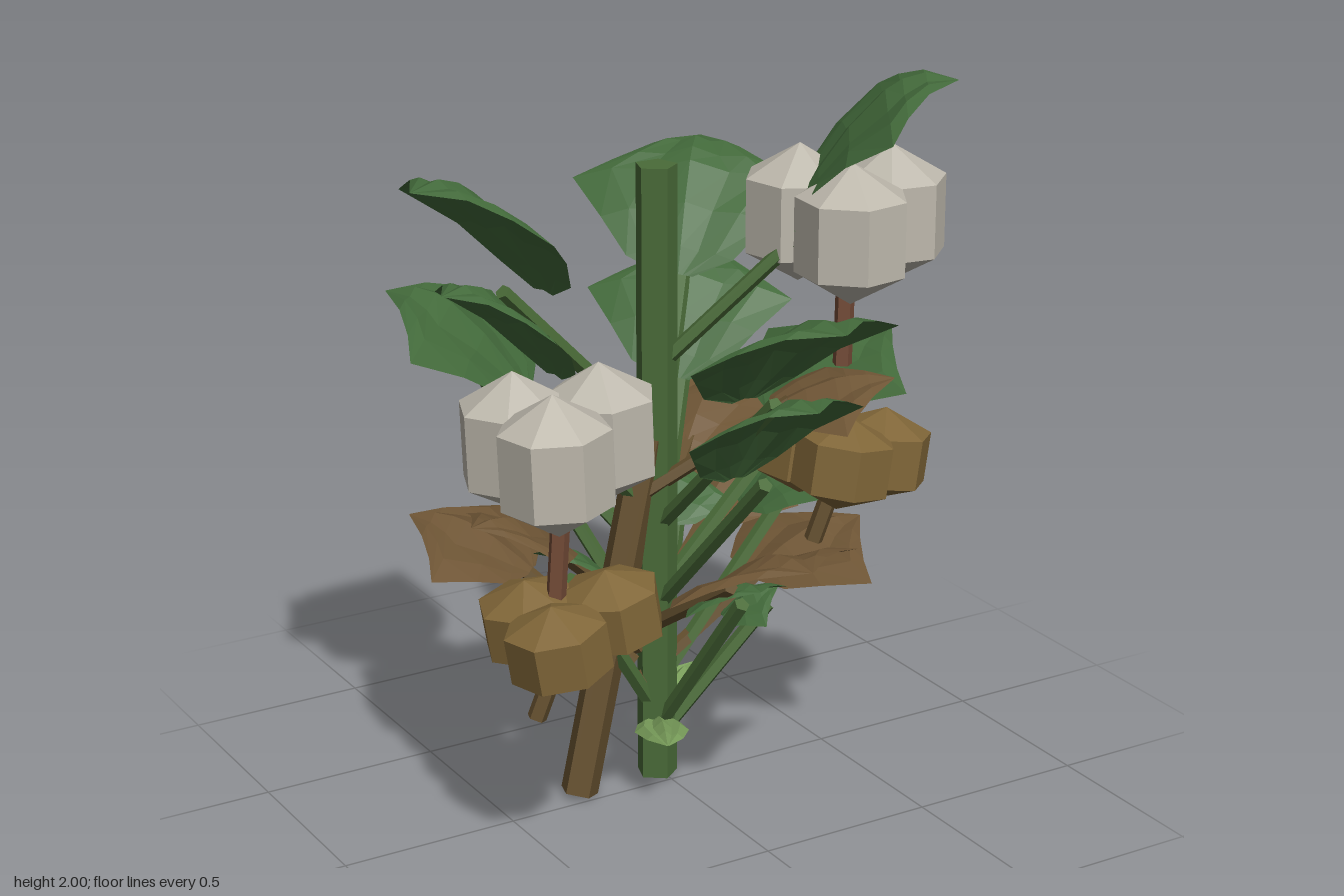
import * as THREE from 'three';

const paint = (color) => new THREE.MeshStandardMaterial({ color, flatShading: true, side: THREE.DoubleSide });
const V = (x, y, z) => new THREE.Vector3(x, y, z);

// Straight stick between two points
function stick(name, a, b, radius, sides, mat) {
  const mesh = new THREE.Mesh(new THREE.CylinderGeometry(radius, radius, a.distanceTo(b), sides), mat);
  mesh.position.copy(a).lerp(b, 0.5);
  mesh.quaternion.setFromUnitVectors(V(0, 1, 0), b.clone().sub(a).normalize());
  mesh.name = name;
  return mesh;
}

// Blade outlines: rows of [position along, half width]
const BROAD = [[0, 0.04], [0.11, 0.15], [0.3, 0.235], [0.53, 0.335], [0.64, 0.23], [0.79, 0.125], [1, 0.004]];
const NARROW = [[0, 0.01], [0.25, 0.06], [0.5, 0.075], [0.75, 0.05], [1, 0.003]];

function blade(rows, size, run, rise, droop, mat) {
  const pos = [], idx = [], cols = 6;
  rows.forEach(([t, w], i) => {
    for (let c = 0; c <= cols; c++) {
      const s = (c / cols) * 2 - 1;
      const ripple = (c % 2 ? 0.015 : 0) * size * Math.sin(Math.PI * t);
      // wings fold down at the sides, lower lobes sweep back
      const along = t - (i === 1 || i === 2 ? 0.05 * s * s : 0);
      const y = rise * 1.06 * Math.sin(1.85 * t) - droop * Math.abs(s) * w + ripple;
      pos.push(s * w * size, y, along * run);
    }
  });
  const n = cols + 1;
  for (let i = 0; i < rows.length - 1; i++) {
    for (let c = 0; c < cols; c++) {
      const a = i * n + c;
      idx.push(a, a + n, a + 1, a + 1, a + n, a + n + 1);
    }
  }
  const g = new THREE.BufferGeometry();
  g.setAttribute('position', new THREE.Float32BufferAttribute(pos, 3));
  g.setIndex(idx);
  g.computeVertexNormals();
  const mesh = new THREE.Mesh(g, mat);
  mesh.name = 'blade';
  return mesh;
}

// Leaf on a slanting stalk; angle in degrees from the front toward +x
function leaf(name, origin, [angle, reach, y, rise, size], drop, overrun, mat, stalkMat) {
  const g = new THREE.Group();
  g.name = name;
  g.position.copy(origin);
  g.rotation.y = THREE.MathUtils.degToRad(angle);
  const b = blade(BROAD, size, 0.4 * size, rise, 0.15, mat);
  b.position.set(0, y, reach);
  // the stalk runs on a little way under the blade
  g.add(b, stick('leafStalk', V(0, Math.max(y - drop, 0.1), 0), V(0, y + 0.02, reach + overrun), 0.022, 5, stalkMat));
  return g;
}

// Three faceted lobes around a short stalk
function cluster(name, center, foot, lobes, radius, half, tilt, mat, stalkMat) {
  const g = new THREE.Group();
  g.name = name;
  const head = new THREE.Group();
  head.name = 'lobes';
  head.position.copy(center);
  head.rotation.z = tilt;
  const profile = [[0, -half], [radius, -half * 0.53], [radius, half * 0.53], [0, half]].map(([x, y]) => new THREE.Vector2(x, y));
  lobes.forEach(([x, z], i) => {
    const m = new THREE.Mesh(new THREE.LatheGeometry(profile, 7), mat);
    m.position.set(x, 0, z);
    m.rotation.y = i * 0.6;
    m.name = 'lobe';
    head.add(m);
  });
  g.add(head, stick('clusterStalk', foot, center, 0.027, 5, stalkMat));
  return g;
}

export function createModel() {
  const plant = new THREE.Group();
  plant.name = 'plant';
  const green = paint(0x42693a), stemGreen = paint(0x4a6b38), light = paint(0x7ba05c);
  const dry = paint(0x6e5535), dryStem = paint(0x65502f), white = paint(0xbdb8ac);
  const pod = paint(0x806638), twig = paint(0x754c38);

  // Stems
  const root = V(-0.015, 0, -0.055);
  const dryRoot = V(-0.09, 0, -0.05);
  plant.add(stick('mainStem', root, V(-0.015, 1.75, -0.055), 0.058, 5, stemGreen));
  plant.add(stick('dryStem', V(-0.27, 0.005, -0.045), V(-0.04, 1.0, -0.06), 0.054, 5, dryStem));

  // Green leaves: angle, reach, base height, rise, size
  [
    [59, 0.38, 1.67, 0.3, 1.0],
    [-82, 0.37, 1.48, 0.32, 1.0],
    [140, 0.37, 1.34, 0.29, 1.0],
    [6, 0.38, 1.21, 0.27, 1.0],
    [-136, 0.36, 1.1, 0.24, 1.0],
    [91, 0.37, 1.01, 0.17, 1.0],
    [-84, 0.33, 1.24, 0.27, 0.85],
    [6, 0.34, 0.98, 0.27, 0.85],
    [138, 0.28, 1.07, 0.27, 0.87],
    [88, 0.28, 0.74, 0.13, 0.58],
    [7, 0.24, 0.61, 0.08, 0.52],
    [-136, 0.19, 0.85, 0.1, 0.48],
    [137, 0.17, 0.68, 0.1, 0.48],
    [-75, 0.2, 0.66, 0.1, 0.5],
    [75, 0.19, 0.45, 0.07, 0.4],
  ].forEach((p) => plant.add(leaf('greenLeaf', root, p, 0.48, 0.13, green, stemGreen)));

  // Dry leaves
  [
    [8, 0.35, 0.69, 0.16, 0.95],
    [91, 0.38, 0.53, 0.1, 0.92],
    [63, 0.36, 1.08, 0.08, 0.85],
    [130, 0.42, 0.82, 0.12, 0.9],
    [120, 0.38, 0.64, 0.1, 0.7],
    [-136, 0.29, 0.6, 0.12, 0.88],
    [-84, 0.24, 0.77, 0.1, 0.7],
  ].forEach((p) => plant.add(leaf('dryLeaf', dryRoot, p, 0.25, 0.06, dry, dryStem)));

  // Pale leaves near the foot
  [[-0.13, 0.2, 0.17, 0.04], [0.19, -0.2, 0.17, 0.06]].forEach(([x, z, y, rise]) => {
    const d = V(x, 0, z).sub(root);
    const b = blade(NARROW, 1, d.length(), rise, 0.3, light);
    b.position.set(root.x, y, root.z);
    b.rotation.y = Math.atan2(d.x, d.z);
    b.name = 'paleLeaf';
    plant.add(b);
  });

  // White tufts
  plant.add(cluster('rightTuft', V(0.44, 1.59, 0.17), V(0.43, 1.19, 0.17),
    [[-0.07, -0.13], [-0.07, 0.12], [0.135, 0]], 0.15, 0.19, 0, white, twig));
  plant.add(cluster('leftTuft', V(-0.46, 1.15, 0.24), V(-0.48, 0.7, 0.22),
    [[-0.09, 0.12], [0.12, -0.02], [-0.09, -0.09]], 0.147, 0.19, 0.04, white, twig));

  // Closed brown pods
  plant.add(cluster('rightPods', V(0.44, 0.94, 0.18), V(0.36, 0.69, 0.15),
    [[-0.09, -0.06], [-0.07, 0.09], [0.1, 0.02]], 0.135, 0.13, -0.15, pod, dryStem));
  plant.add(cluster('leftPods', V(-0.45, 0.66, 0.25), V(-0.54, 0.4, 0.22),
    [[-0.09, 0.09], [0.11, 0.02], [-0.07, -0.09]], 0.135, 0.12, 0.17, pod, dryStem));

  // Small husk leaves poking out between the white lobes
  [[70, 1.67], [-75, 1.57], [-170, 1.6]].forEach(([angle, y]) => {
    const b = blade(NARROW, 0.7, 0.2, 0.03, 0.2, green);
    b.position.set(0.43, y, 0.17);
    b.rotation.y = THREE.MathUtils.degToRad(angle);
    b.name = 'husk';
    plant.add(b);
  });
  return plant;
}
